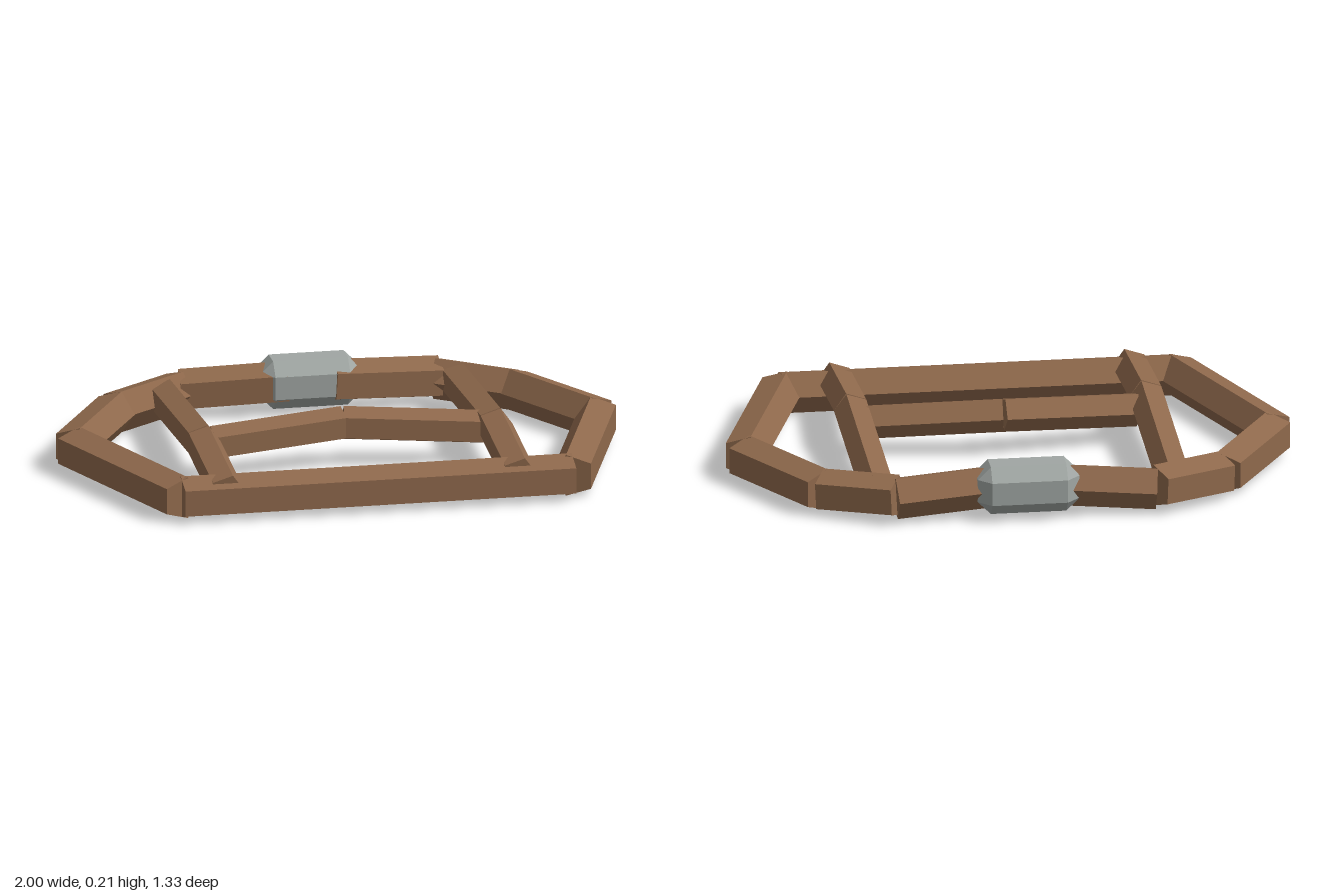
import * as THREE from 'three';
import { ConvexGeometry } from 'three/addons/geometries/ConvexGeometry.js';

const wood = new THREE.MeshStandardMaterial({ color: 0x8f694c });
wood.name = 'brown wood';
const stone = new THREE.MeshStandardMaterial({ color: 0xa0a6a3 });
stone.name = 'pale grey';

// Five-sided beam from a to b, with one flat face turned towards `flat`
function beam(name, a, b, radius, flat) {
  const start = new THREE.Vector3(...a), end = new THREE.Vector3(...b);
  const along = end.clone().sub(start);
  const length = along.length();
  along.normalize();
  const face = new THREE.Vector3(...flat);
  face.addScaledVector(along, -face.dot(along)).normalize();
  const side = new THREE.Vector3().crossVectors(face, along);
  const geometry = new THREE.CylinderGeometry(radius, radius, length, 5, 1, false, THREE.MathUtils.degToRad(54)).toNonIndexed();
  geometry.applyMatrix4(new THREE.Matrix4().makeBasis(face, along, side));
  geometry.computeVertexNormals();
  const mesh = new THREE.Mesh(geometry, wood);
  mesh.name = name;
  mesh.position.copy(start).add(end).multiplyScalar(0.5);
  return mesh;
}

// Box with every edge cut at 45 degrees
function bevelledBox(w, h, d, cut) {
  const points = [];
  for (const x of [-1, 1]) for (const y of [-1, 1]) for (const z of [-1, 1]) {
    for (let full = 0; full < 3; full++) {
      const p = [w / 2, h / 2, d / 2].map((v, i) => (i === full ? v : v - cut));
      points.push(new THREE.Vector3(p[0] * x, p[1] * y, p[2] * z));
    }
  }
  return new ConvexGeometry(points);
}

export function createModel() {
  const model = new THREE.Group();
  model.name = 'beamFrame';

  // Outer ring, flat faces outward
  const R = 0.079;
  const frontRight = [-0.68, 0.075, 0.596], frontLeft = [0.72, 0.075, 0.596];
  model.add(beam('frontBeam', frontRight, frontLeft, R, [0, 0, 1]));
  const sides = [
    ['right', -1, [frontRight, [-0.942, 0.075, -0.054], [-0.713, 0.076, -0.447], [-0.457, 0.09, -0.594]]],
    ['left', 1, [frontLeft, [0.937, 0.075, -0.056], [0.71, 0.076, -0.44], [0.46, 0.09, -0.576]]],
  ];
  const names = ['SideBeam', 'RearSideBeam', 'RearCornerBeam'];
  for (const [prefix, s, nodes] of sides) {
    names.forEach((n, i) => {
      const [a, b] = [nodes[i], nodes[i + 1]];
      const out = [s * Math.abs(b[2] - a[2]), 0, (b[0] - a[0]) * s];
      model.add(beam(prefix + n, a, b, R, out));
    });
  }

  // Back beams, with a ridge outward, running into the grey block
  model.add(beam('rightBackBeam', [-0.457, 0.088, -0.587], [-0.08, 0.108, -0.545], R, [0, 0, 1]));
  model.add(beam('leftBackBeam', [0.467, 0.088, -0.567], [0.08, 0.108, -0.535], R, [0, 0, 1]));

  // Grey block at the back
  const block = new THREE.Mesh(bevelledBox(0.36, 0.175, 0.175, 0.046), stone);
  block.name = 'backBlock';
  block.position.set(0, 0.11, -0.567);
  model.add(block);

  // Raised inner rails, each in two pieces
  const r = 0.0635;
  for (const [prefix, x] of [['right', -0.524], ['left', 0.522]]) {
    const peak = [x, 0.145, 0.18];
    model.add(beam(prefix + 'FrontRail', [x, 0.1, 0.625], peak, r, [-1, 0, 0]));
    model.add(beam(prefix + 'RearRail', peak, [x, 0.095, -0.52], r, [-1, 0, 0]));
  }

  // Cross bar bent at the middle
  const middle = [0, 0.145, 0.07];
  model.add(beam('rightCrossBar', [-0.48, 0.12, 0.132], middle, r, [0, 0, 1]));
  model.add(beam('leftCrossBar', middle, [0.49, 0.12, 0.132], r, [0, 0, 1]));
  return model;
}
